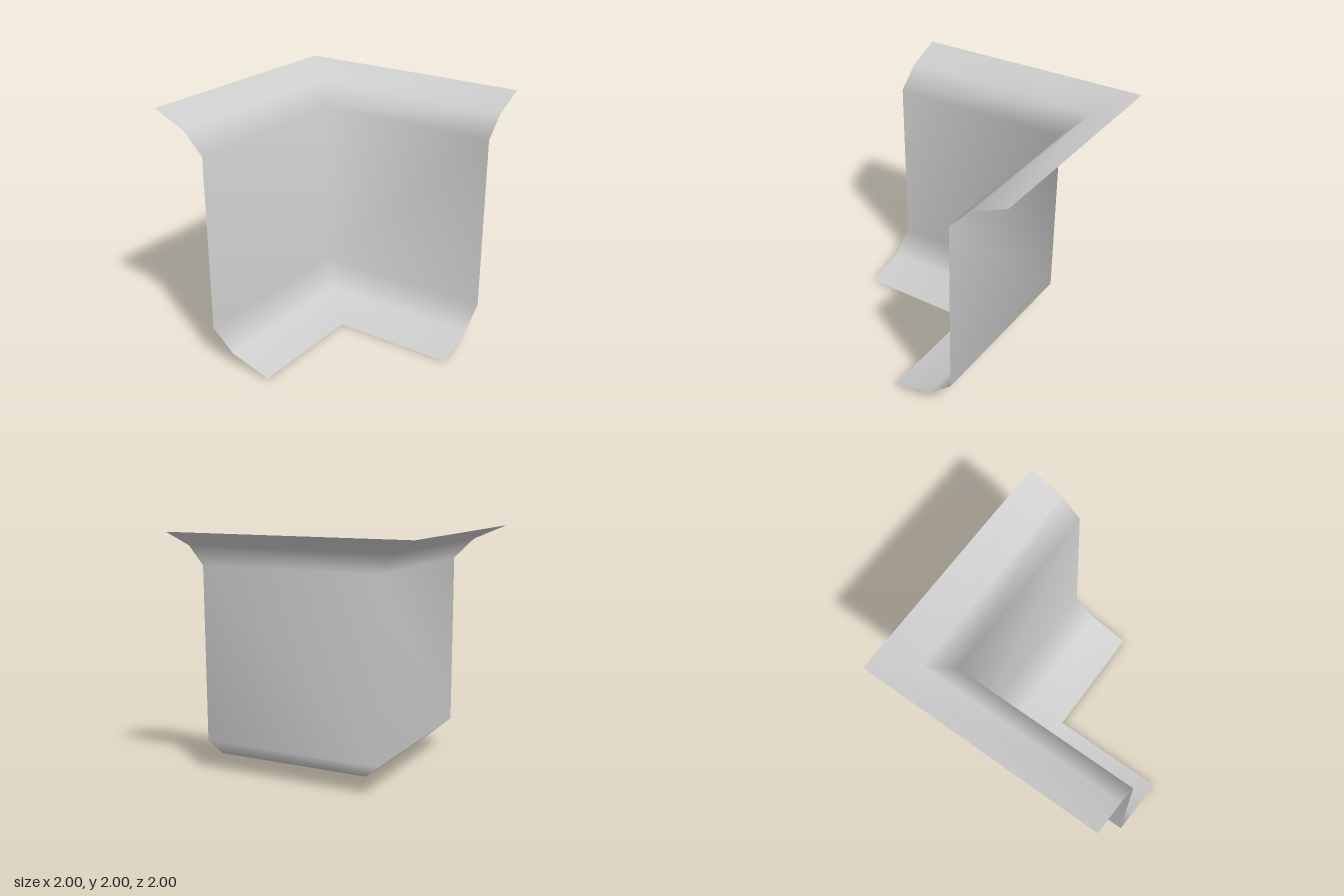
import * as THREE from 'three';

export function createModel() {
  const group = new THREE.Group();
  const grey = new THREE.MeshStandardMaterial({ color: 0xcccccc, side: THREE.DoubleSide });
  grey.name = 'light grey';

  // Wall profile from top lip to foot: [offset, height]
  const profile = [[-1, 2], [-0.72, 1.88], [-0.545, 1.71], [-0.545, 0.265], [-0.35, 0.1], [0, 0]];

  // Sweep the profile round a mitred right-angle corner: left end, corner, back end
  const positions = [];
  for (const [d, y] of profile) positions.push(d, y, 1, d, y, d, 1, y, d);

  const index = [];
  for (let row = 0; row < profile.length - 1; row++) {
    for (let col = 0; col < 2; col++) {
      const a = row * 3 + col, b = a + 1, c = a + 3, d = c + 1;
      index.push(a, c, b, b, c, d);
    }
  }

  const geometry = new THREE.BufferGeometry();
  geometry.setAttribute('position', new THREE.Float32BufferAttribute(positions, 3));
  geometry.setIndex(index);
  geometry.computeVertexNormals();

  const wall = new THREE.Mesh(geometry, grey);
  wall.name = 'cornerWall';
  group.add(wall);
  return group;
}
